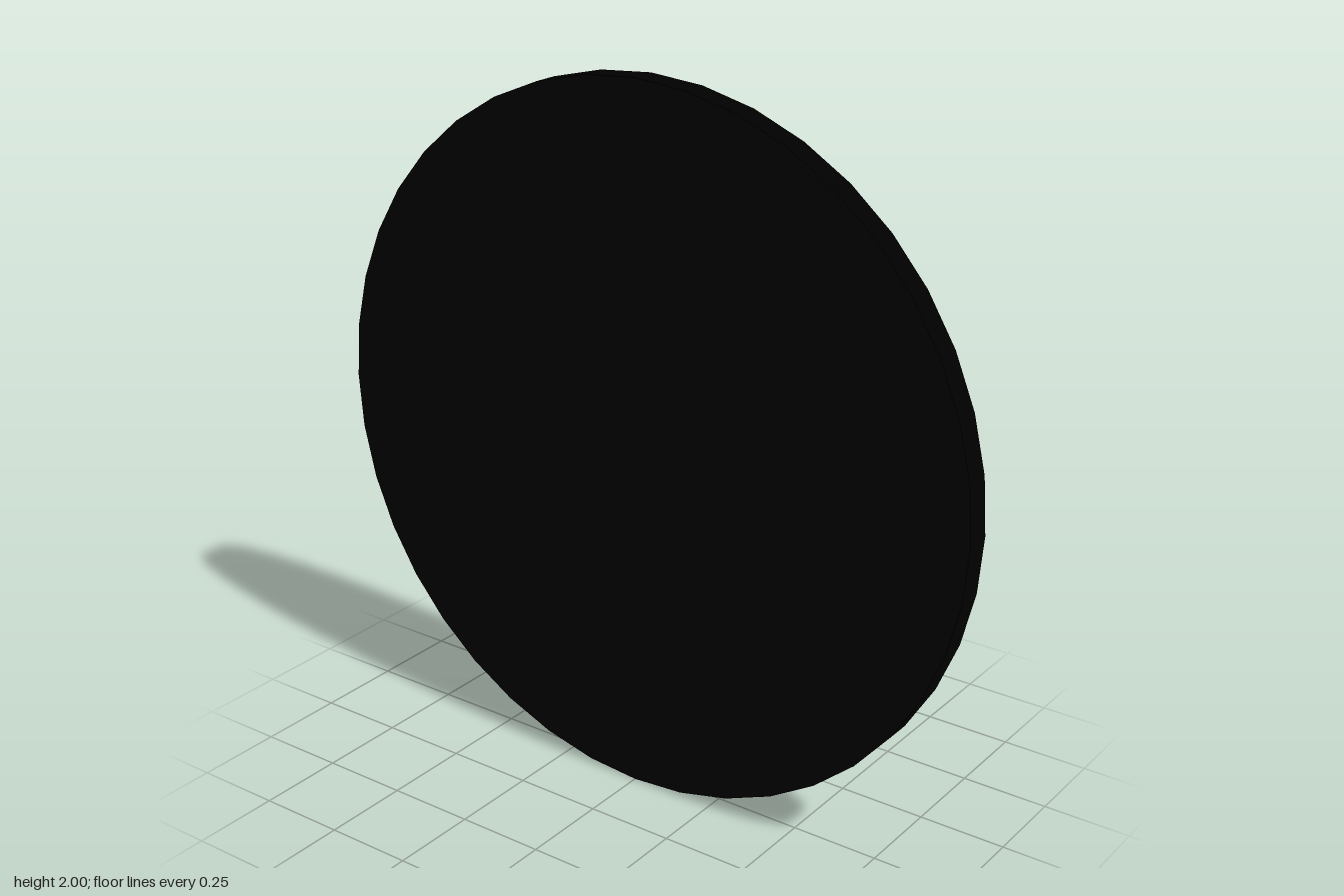
import * as THREE from 'three';

const DISC_BACK = -0.055, DISC_FACE = 0.019, TRIM_FACE = 0.055;

// Round plate with its axis along x, spanning x0..x1
function plate(name, radius, x0, x1, sides, material) {
  const geometry = new THREE.CylinderGeometry(radius, radius, x1 - x0, sides);
  geometry.rotateZ(-Math.PI / 2);
  const mesh = new THREE.Mesh(geometry, material);
  mesh.name = name;
  mesh.position.set((x0 + x1) / 2, 1, 0);
  return mesh;
}

export function createModel() {
  const group = new THREE.Group();
  group.name = 'discWithPointer';
  const black = new THREE.MeshStandardMaterial({ color: 0x000000 });
  const grey = new THREE.MeshStandardMaterial({ color: 0xcccccc });

  // Large thin disc standing on its rim, and the small hub on its left face
  group.add(plate('disc', 1, DISC_BACK, DISC_FACE, 40, black));
  group.add(plate('hub', 0.06, DISC_FACE, TRIM_FACE, 32, grey));

  // Straight pointer from the hub down to the rim
  const pointer = new THREE.Mesh(new THREE.BoxGeometry(TRIM_FACE - DISC_FACE, 1, 0.034), grey);
  pointer.name = 'pointer';
  pointer.position.set((DISC_FACE + TRIM_FACE) / 2, 0.5, 0);
  group.add(pointer);

  return group;
}
